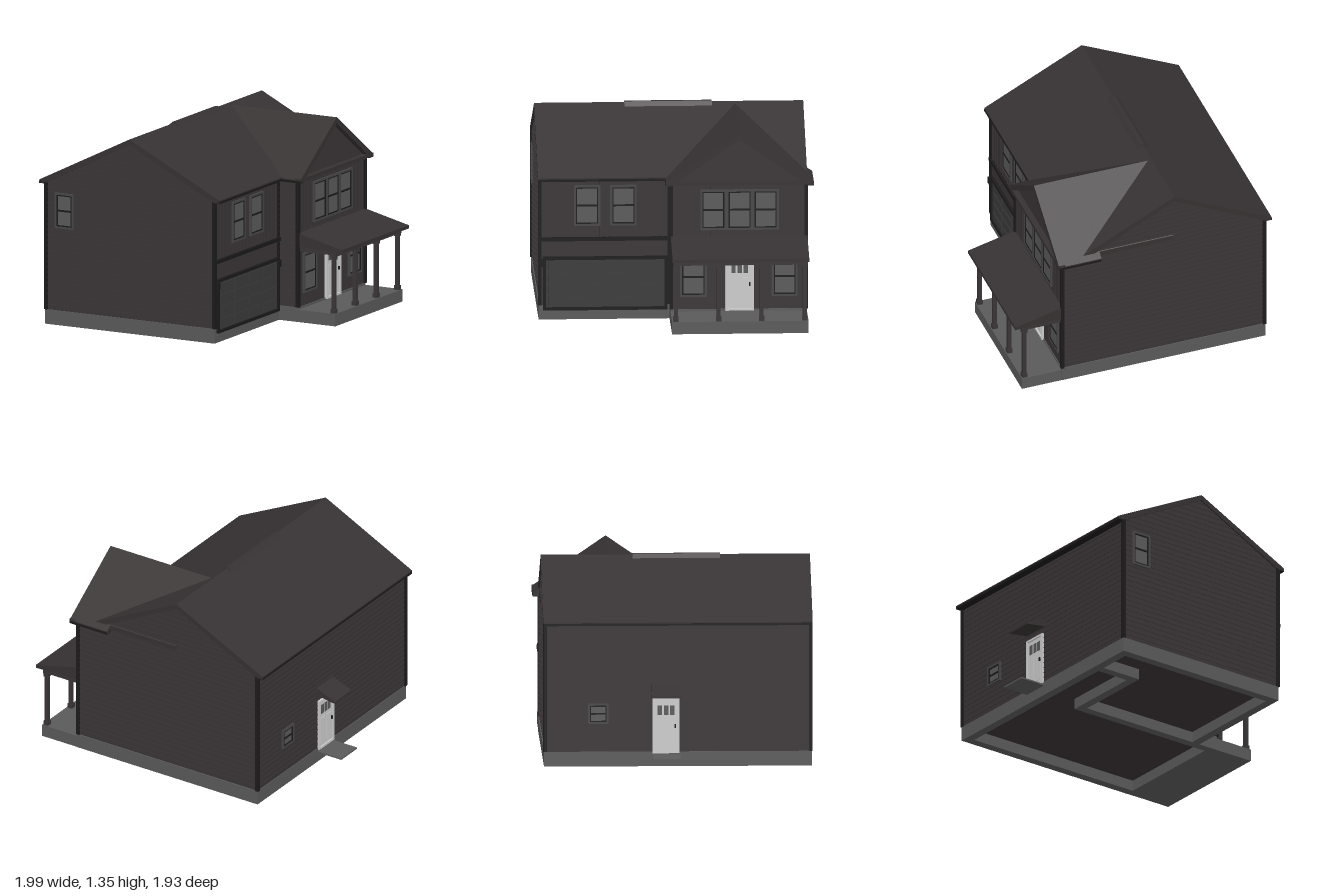
import * as THREE from 'three';

const mat = (color) => new THREE.MeshStandardMaterial({ color, roughness: 0.9 });
const M = {
  wall: mat(0x3a3436), roof: mat(0x363132), trim: mat(0x1c1a1b), frame: mat(0x464646),
  glass: mat(0x5a5a5a), stone: mat(0x5a5a5a), garage: mat(0x3a3a3a), door: mat(0xcccccc),
};

export function createModel() {
  const model = new THREE.Group();
  const house = new THREE.Group();
  house.name = 'house';
  house.rotation.y = 0.054;
  model.add(house);

  const add = (parent, name, geo, m) => {
    const mesh = new THREE.Mesh(geo, m);
    mesh.name = name;
    parent.add(mesh);
    return mesh;
  };
  // Box given by its low and high limits on each axis
  const box = (name, m, x0, x1, y0, y1, z0, z1, parent = house) => {
    const b = add(parent, name, new THREE.BoxGeometry(x1 - x0, y1 - y0, z1 - z0), m);
    b.position.set((x0 + x1) / 2, (y0 + y1) / 2, (z0 + z1) / 2);
    return b;
  };
  const extrude = (pts, depth) => new THREE.ExtrudeGeometry(
    new THREE.Shape(pts.map(([a, b]) => new THREE.Vector2(a, b))), { depth, bevelEnabled: false });
  // Outline in (x, y) swept along z, and outline in (z, y) swept along x
  const alongZ = (name, m, pts, z0, z1) => add(house, name, extrude(pts, z1 - z0).translate(0, 0, z0), m);
  const alongX = (name, m, pts, x0, x1) =>
    add(house, name, extrude(pts, x1 - x0).rotateY(-Math.PI / 2).translate(x1, 0, 0), m);

  // Foundation ring, inner footings and floors
  [
    [-0.8, 0.51, 0.85, 0.912], [-0.8, 0.66, -0.892, -0.83], [-0.8, -0.74, -0.83, 0.85],
    [0.45, 0.51, 0.03, 0.85], [0.6, 0.66, -0.83, -0.03], [-0.5, 0.66, -0.03, 0.03],
    [-0.5, -0.44, 0.03, 0.55], [-0.74, -0.44, 0.55, 0.61],
  ].forEach(([x0, x1, z0, z1]) => box('foundation', M.stone, x0, x1, 0, 0.1, z0, z1));
  box('mainFloor', M.wall, -0.78, 0.5, 0.075, 0.095, -0.88, 0.9);
  box('wingFloor', M.wall, 0.45, 0.65, 0.075, 0.095, -0.88, 0.02);

  // Walls
  alongZ('mainWalls', M.wall,
    [[-0.795, 0.09], [0.505, 0.09], [0.505, 0.98], [-0.145, 1.305], [-0.795, 0.98]], -0.885, 0.905);
  alongX('wingWalls', M.wall,
    [[-0.885, 0.09], [0.025, 0.09], [0.025, 0.98], [-0.437, 1.295], [-0.885, 0.98]], 0.3, 0.655);

  // Lap siding courses
  for (let y = 0.13; y < 1.28; y += 0.037) {
    const h = Math.min(0.648, (1.3 - y) / 0.5);
    box('siding', M.wall, -0.145 - h, -0.145 + h, y, y + 0.007, 0.9, 0.909);
    box('siding', M.wall, -0.145 - h, -0.145 + h, y, y + 0.007, -0.889, -0.88);
    if (y > 0.95) continue;
    box('siding', M.wall, -0.799, -0.79, y, y + 0.007, -0.88, 0.9);
    box('siding', M.wall, 0.5, 0.65, y, y + 0.007, -0.889, -0.88);
    box('siding', M.wall, 0.5, 0.65, y, y + 0.007, 0.02, 0.029);
  }
  // Vertical battens on the upper storey
  for (let z = 0.07; z < 0.89; z += 0.047) box('batten', M.wall, 0.5, 0.509, 0.57, 0.97, z, z + 0.007);
  for (let z = -0.86; z < 0.02; z += 0.047) box('batten', M.wall, 0.65, 0.659, 0.61, 0.97, z, z + 0.007);

  // Corner boards and belt trim
  [[-0.795, 0.905], [0.505, 0.905], [-0.795, -0.885], [0.655, -0.885], [0.655, 0.025]].forEach(([x, z]) =>
    box('cornerBoard', M.trim, x - 0.012, x + 0.012, 0.1, 0.975, z - 0.012, z + 0.012));
  box('beltTrim', M.trim, 0.5, 0.522, 0.545, 0.57, 0.02, 0.917);
  box('cornerBoard', M.trim, 0.5, 0.514, 0.1, 0.975, 0.026, 0.045);

  // Main roof with soffits, fascias and ridge vent
  alongZ('mainRoof', M.roof, [[-0.843, 0.99], [-0.843, 0.968], [-0.8, 0.968], [-0.146, 1.302],
    [0.508, 0.968], [0.551, 0.968], [0.551, 0.99], [-0.146, 1.338]], -0.897, 0.917);
  box('leftSoffit', M.trim, -0.845, -0.79, 0.966, 0.982, -0.897, 0.917);
  box('rightSoffit', M.trim, 0.5, 0.553, 0.966, 0.982, 0.02, 0.917);
  alongZ('ridgeVent', M.roof, [[-0.19, 1.315], [-0.102, 1.315], [-0.135, 1.345], [-0.157, 1.345]], -0.28, 0.31);

  // Wing roof: outer part with both eaves, inner part trimmed at the main gable
  const rise = 0.345 / 0.4975;
  alongX('wingRoof', M.roof, [[-0.935, 0.985], [-0.935, 0.965], [-0.895, 0.965], [-0.437, 1.285],
    [0.02, 0.965], [0.06, 0.965], [0.06, 0.985], [-0.437, 1.327]], 0.39, 0.693);
  alongX('wingRoofValley', M.roof, [[-0.893, 0.985 + 0.042 * rise], [-0.893, 0.98], [-0.437, 1.285],
    [0.02, 0.965], [0.06, 0.965], [0.06, 0.985], [-0.437, 1.327]], -0.14, 0.39);
  box('backSoffit', M.trim, 0.39, 0.693, 0.962, 0.978, -0.937, -0.88);
  box('frontSoffit', M.trim, 0.505, 0.693, 0.962, 0.978, 0.02, 0.062);
  box('gableLedge', M.roof, 0.65, 0.695, 0.968, 0.992, -0.935, 0.06);

  // Porch slab, posts, beam and shed roof
  box('porchSlab', M.stone, 0.655, 0.945, 0, 0.085, -0.89, 0.03);
  for (const z of [0.004, -0.285, -0.575, -0.865]) {
    box('porchPost', M.wall, 0.908, 0.934, 0.085, 0.48, z - 0.013, z + 0.013);
    box('postBase', M.wall, 0.903, 0.939, 0.085, 0.115, z - 0.018, z + 0.018);
    box('postCap', M.wall, 0.903, 0.939, 0.455, 0.475, z - 0.018, z + 0.018);
  }
  box('porchBeam', M.wall, 0.9, 0.942, 0.475, 0.52, -0.885, 0.022);
  for (const z of [-0.87, 0.005]) box('porchSideBeam', M.wall, 0.65, 0.92, 0.485, 0.525, z - 0.014, z + 0.014);
  alongZ('porchRoof', M.roof, [[0.65, 0.52], [0.994, 0.508], [0.994, 0.53], [0.65, 0.612]], -0.893, 0.028);

  // Mount for parts facing outward from a wall
  const mount = (name, x, y, z, turn) => {
    const g = new THREE.Group();
    g.name = name;
    g.position.set(x, y, z);
    g.rotation.y = turn;
    house.add(g);
    return g;
  };
  const RIGHT = Math.PI / 2, BACK = -Math.PI / 2;
  const border = (g, m, w, h, t, d) => {
    for (const s of [-1, 1]) {
      box('sideTrim', m, s * (w - t) / 2 - t / 2, s * (w - t) / 2 + t / 2, -h / 2, h / 2, -0.005, d, g);
      box('endTrim', m, -w / 2 + t, w / 2 - t, s * (h - t) / 2 - t / 2, s * (h - t) / 2 + t / 2, -0.005, d, g);
    }
  };
  // Double-hung window
  const windowAt = (x, y, z, turn, w, h) => {
    const g = mount('window', x, y, z, turn);
    border(g, M.frame, w, h, 0.014, 0.014);
    border(g, M.trim, w - 0.028, h - 0.028, 0.008, 0.011);
    box('glass', M.glass, -w / 2 + 0.02, w / 2 - 0.02, -h / 2 + 0.02, h / 2 - 0.02, -0.005, 0.006, g);
    box('meetingRail', M.trim, -w / 2 + 0.02, w / 2 - 0.02, -0.006, 0.006, -0.005, 0.011, g);
  };
  for (const z of [0.586, 0.341]) windowAt(0.505, 0.79, z, RIGHT, 0.178, 0.28);
  for (let i = 0; i < 3; i++) windowAt(0.655, 0.79, -0.26 - i * 0.176, RIGHT, 0.176, 0.28);
  windowAt(0.655, 0.325, -0.125, RIGHT, 0.18, 0.275);
  windowAt(0.655, 0.325, -0.74, RIGHT, 0.175, 0.275);
  windowAt(-0.652, 0.79, 0.905, 0, 0.145, 0.245);
  windowAt(-0.795, 0.36, -0.527, BACK, 0.14, 0.14);

  // Panelled door
  const doorAt = (name, x, y, z, turn, w, h) => {
    const g = mount(name, x, y, z, turn);
    border(g, M.door, w, h, 0.015, 0.018);
    box('doorLeaf', M.door, -w / 2 + 0.012, w / 2 - 0.012, -h / 2, h / 2 - 0.012, -0.005, 0.008, g);
    for (const s of [-1, 1]) box('lowerPanel', M.door, s * 0.036 - 0.024, s * 0.036 + 0.024, -h * 0.4, h * 0.12, 0, 0.012, g);
    for (let i = -1; i < 2; i++) box('doorLight', M.glass, i * 0.042 - 0.015, i * 0.042 + 0.015, h * 0.2, h * 0.38, 0, 0.011, g);
    box('handle', M.trim, w / 2 - 0.034, w / 2 - 0.024, -0.012, 0.012, 0, 0.022, g);
  };
  doorAt('frontDoor', 0.655, 0.275, -0.437, RIGHT, 0.195, 0.37);
  doorAt('backDoor', -0.795, 0.275, -0.07, BACK, 0.18, 0.37);

  // Back door awning and step
  alongZ('awning', M.roof, [[-0.945, 0.487], [-0.79, 0.51], [-0.79, 0.565], [-0.945, 0.503]], -0.17, 0.03);
  box('backStep', M.stone, -0.992, -0.78, 0.07, 0.08, -0.164, 0.027);

  // Sectional garage door
  const garage = mount('garageDoor', 0.507, 0.25, 0.463, RIGHT);
  box('doorSheet', M.garage, -0.4, 0.4, -0.175, 0.165, -0.005, 0.005, garage);
  border(garage, M.trim, 0.84, 0.37, 0.02, 0.018);
  box('sill', M.stone, -0.42, 0.42, -0.2, -0.182, -0.005, 0.012, garage);
  for (let r = 0; r < 4; r++) for (let c = 0; c < 4; c++) {
    const x = -0.296 + c * 0.197, y = -0.123 + r * 0.082;
    box('raisedPanel', M.garage, x - 0.085, x + 0.085, y - 0.03, y + 0.03, 0, 0.01, garage);
  }
  // Lanterns beside the garage door
  for (const z of [0.887, 0.05]) box('lantern', M.trim, 0.5, 0.535, 0.37, 0.42, z - 0.01, z + 0.01);

  return model;
}
